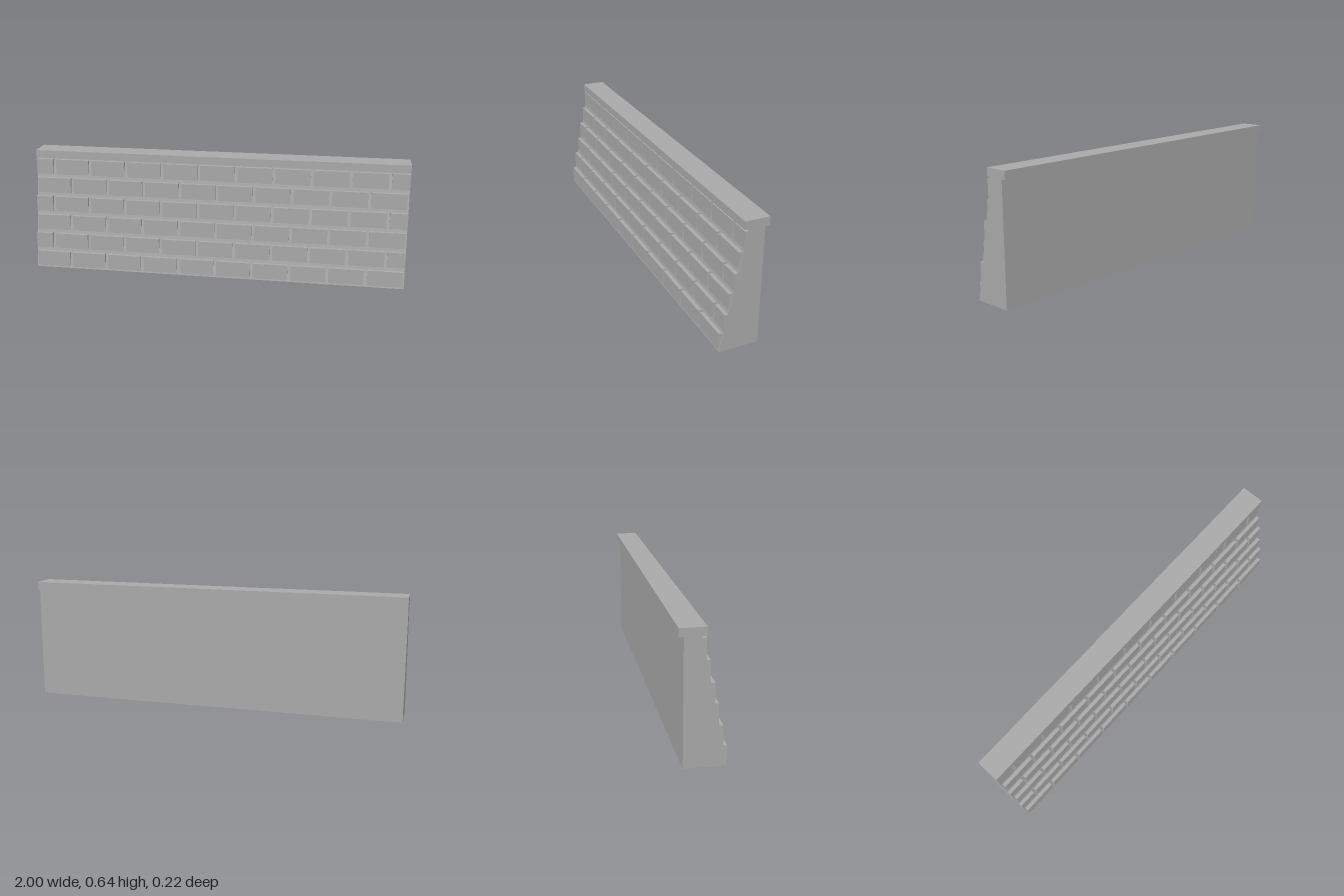
import * as THREE from 'three';

const LENGTH = 2, ROWS = 6, ROW_H = 0.1, BLOCK_W = 0.2, JOINT = 0.008;
const BASE_Z = 0.11, STEP = 0.02, BACK_Z = -0.088, WALL_H = ROWS * ROW_H;

export function createModel() {
  const group = new THREE.Group();
  group.name = 'retainingWall';
  const stone = new THREE.MeshStandardMaterial({ color: 0xa8a8a8 });
  stone.name = 'grey stone';

  const add = (geometry, name, x = 0, y = 0, z = 0) => {
    const mesh = new THREE.Mesh(geometry, stone);
    mesh.name = name;
    mesh.position.set(x, y, z);
    group.add(mesh);
  };

  // Core with a leaning front face; shape x becomes -z after the turn
  const profile = new THREE.Shape([
    new THREE.Vector2(-BASE_Z, 0),
    new THREE.Vector2(-BACK_Z, 0),
    new THREE.Vector2(-BACK_Z, WALL_H),
    new THREE.Vector2(-(BASE_Z - ROWS * STEP), WALL_H),
  ]);
  const core = new THREE.ExtrudeGeometry(profile, { depth: LENGTH, bevelEnabled: false });
  core.rotateY(Math.PI / 2).translate(-LENGTH / 2, 0, 0);
  add(core, 'wallCore');

  // Coping along the top
  add(new THREE.BoxGeometry(LENGTH, 0.041, 0.122), 'coping', 0, WALL_H + 0.0205, -0.049);

  // Stepped courses of blocks, every second course shifted by half a block
  const depth = 0.03, height = ROW_H - 2 * JOINT;
  for (let row = 0; row < ROWS; row++) {
    const shifted = row % 2 === 1;
    const count = shifted ? 11 : 10;
    const start = -LENGTH / 2 - (shifted ? BLOCK_W / 2 : 0);
    for (let i = 0; i < count; i++) {
      const left = Math.max(start + i * BLOCK_W + JOINT, -LENGTH / 2);
      const right = Math.min(start + (i + 1) * BLOCK_W - JOINT, LENGTH / 2);
      add(new THREE.BoxGeometry(right - left, height, depth), 'block',
        (left + right) / 2, (row + 0.5) * ROW_H, BASE_Z - row * STEP - depth / 2);
    }
  }
  return group;
}
